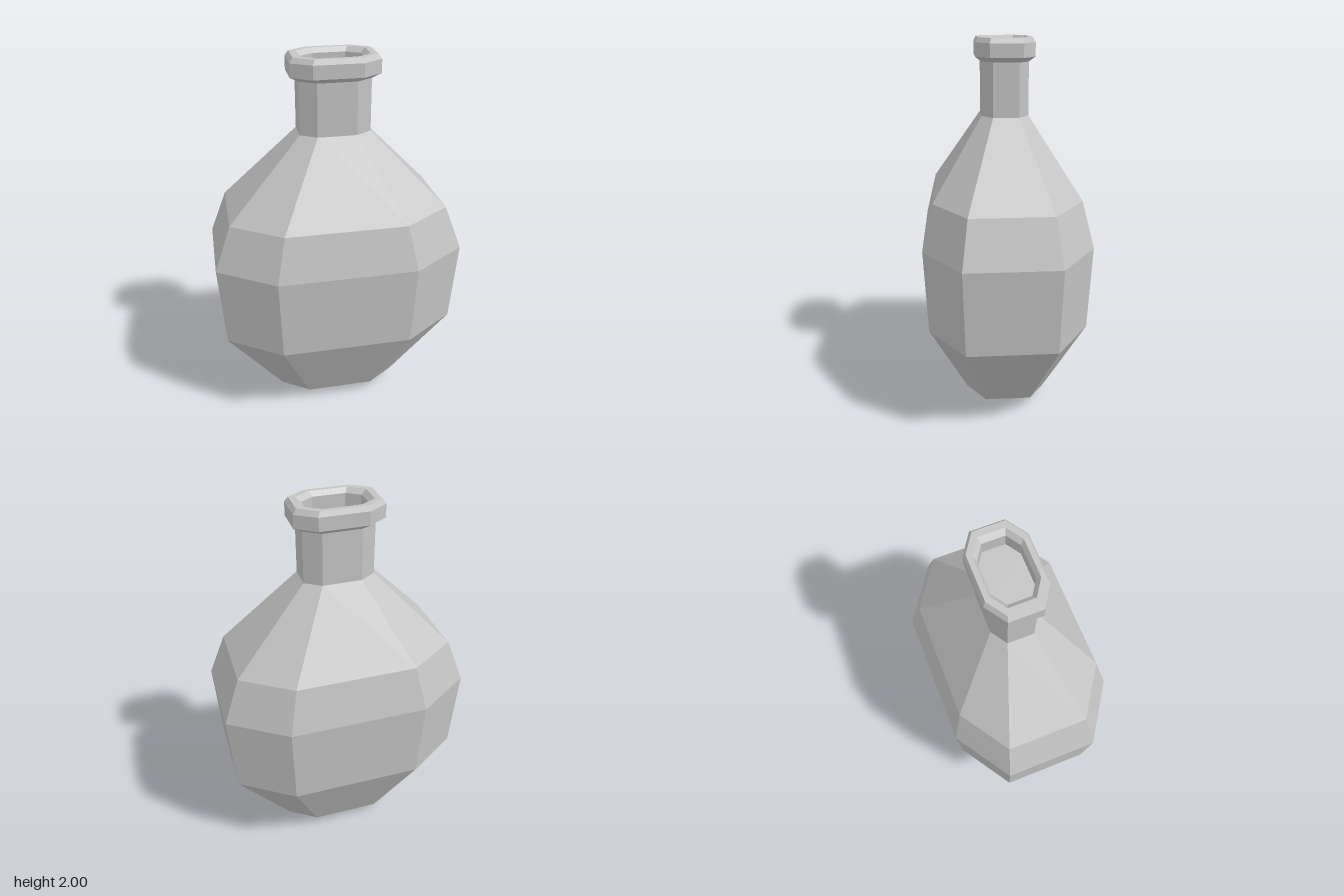
import * as THREE from 'three';

const CORNER = 0.55; // share of each side left straight before the chamfer

// Point i of an eight-sided ring with half width w and half depth d
function ringPoint([y, w, d], i) {
  const [x, z] = [
    [1, CORNER], [CORNER, 1], [-CORNER, 1], [-1, CORNER],
    [-1, -CORNER], [-CORNER, -1], [CORNER, -1], [1, -CORNER],
  ][i % 8];
  return [x * w, y, z * d];
}

// Flat-faced skin through rings of [height, half width, half depth]
function facetedPart(name, rings, material) {
  const positions = [];
  for (let j = 0; j < rings.length - 1; j++) {
    for (let i = 0; i < 8; i++) {
      const a = ringPoint(rings[j], i), b = ringPoint(rings[j], i + 1);
      const c = ringPoint(rings[j + 1], i + 1), d = ringPoint(rings[j + 1], i);
      // Rings of zero size close the part with a fan of triangles
      if (rings[j + 1][1] > 0) positions.push(...a, ...d, ...c);
      if (rings[j][1] > 0) positions.push(...a, ...c, ...b);
    }
  }
  const geometry = new THREE.BufferGeometry();
  geometry.setAttribute('position', new THREE.Float32BufferAttribute(positions, 3));
  geometry.computeVertexNormals();
  const mesh = new THREE.Mesh(geometry, material);
  mesh.name = name;
  return mesh;
}

export function createModel() {
  const group = new THREE.Group();
  group.name = 'bottle';
  const grey = new THREE.MeshStandardMaterial({ color: 0xc4c4c4 });
  grey.name = 'grey';

  // Base, belly and sloping shoulders
  group.add(facetedPart('body', [
    [0, 0, 0], [0, 0.23, 0.15], [0.06, 0.335, 0.223], [0.5, 0.638, 0.422],
    [0.955, 0.667, 0.442], [1.195, 0.578, 0.384], [1.605, 0.185, 0.122],
  ], grey));

  // Straight neck
  group.add(facetedPart('neck', [[1.605, 0.185, 0.122], [1.88, 0.185, 0.122]], grey));

  // Lip, mouth and the floor just inside the opening
  group.add(facetedPart('lip', [
    [1.88, 0.185, 0.122], [1.905, 0.23, 0.153], [1.975, 0.23, 0.153],
    [2, 0.212, 0.141], [2, 0.178, 0.118], [1.975, 0.154, 0.102],
    [1.9, 0.154, 0.102], [1.9, 0, 0],
  ], grey));

  return group;
}
